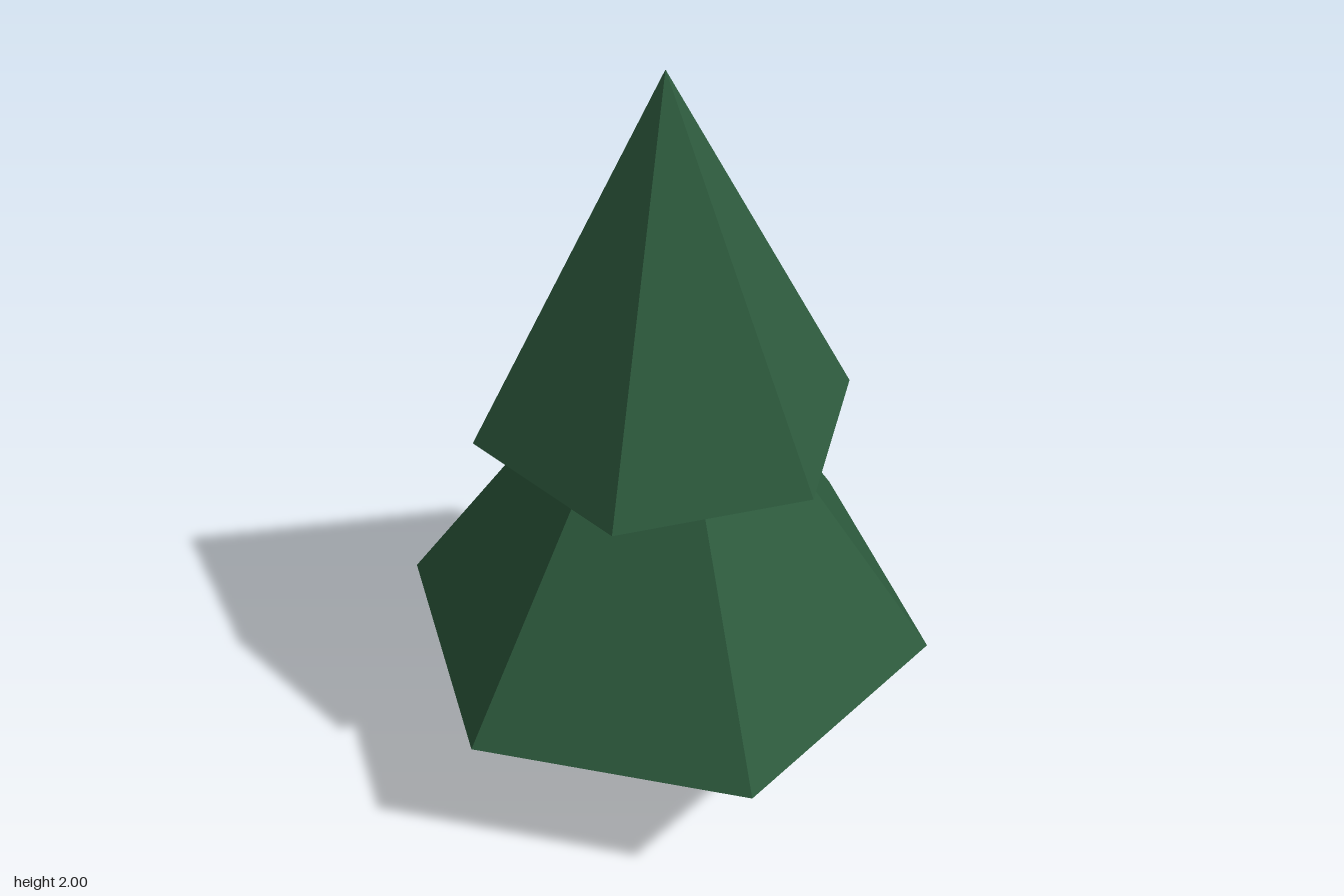
import * as THREE from 'three';

export function createModel() {
  const tree = new THREE.Group();
  tree.name = 'pineTree';

  const bark = new THREE.MeshStandardMaterial({ color: 0x5d4037, flatShading: true });
  bark.name = 'bark brown';
  const needles = new THREE.MeshStandardMaterial({ color: 0x2d5a3d, flatShading: true });
  needles.name = 'needle green';

  const addPart = (name, geometry, material, bottom, height) => {
    const mesh = new THREE.Mesh(geometry, material);
    mesh.name = name;
    mesh.position.y = bottom + height / 2;
    tree.add(mesh);
  };

  // Square trunk with its corners on the axes, ending just inside the foliage
  addPart('trunk', new THREE.CylinderGeometry(0.057, 0.057, 0.45, 4), bark, 0, 0.45);

  // Six-sided foliage cones, each turned by its own angle
  const tiers = [
    { name: 'lowerFoliage', radius: 0.72, bottom: 0.385, top: 1.44, turn: 0.677 },
    { name: 'upperFoliage', radius: 0.493, bottom: 1.055, top: 2, turn: 0.123 },
  ];
  for (const { name, radius, bottom, top, turn } of tiers) {
    const height = top - bottom;
    addPart(name, new THREE.ConeGeometry(radius, height, 6, 1, false, turn), needles, bottom, height);
  }

  return tree;
}
